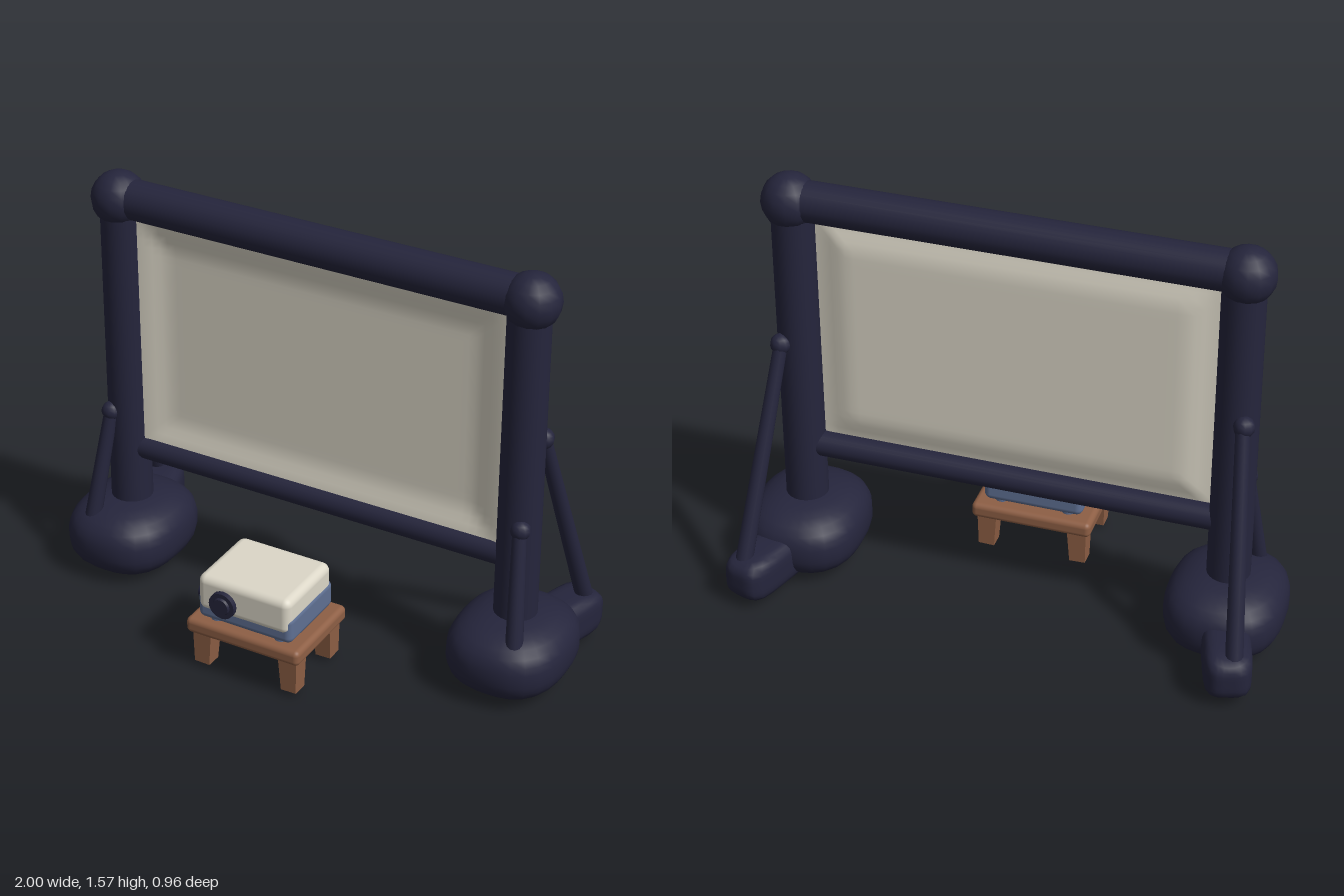
import * as THREE from 'three';
import { mergeVertices } from 'three/addons/utils/BufferGeometryUtils.js';
import { RoundedBoxGeometry } from 'three/addons/geometries/RoundedBoxGeometry.js';

const material = (name, color, extra = {}) => {
  const m = new THREE.MeshStandardMaterial({ color, ...extra });
  m.name = name;
  return m;
};

const V = (x, y, z) => new THREE.Vector3(x, y, z);

export function createModel() {
  const model = new THREE.Group();
  model.name = 'outdoorScreen';
  const navy = material('navy', 0x25253c);
  const cream = material('cream', 0xdcd7c8);
  const fabric = material('screenFabric', 0xdbd6c7, { side: THREE.DoubleSide });
  const blue = material('slateBlue', 0x5f7093);
  const wood = material('wood', 0x8e5f45);

  const add = (name, geometry, mat, x = 0, y = 0, z = 0) => {
    const mesh = new THREE.Mesh(geometry, mat);
    mesh.name = name;
    mesh.position.set(x, y, z);
    model.add(mesh);
    return mesh;
  };
  // Cylinder from a to b
  const tube = (name, a, b, r0, r1, mat, sides = 18) => {
    const mesh = add(name, new THREE.CylinderGeometry(r1, r0, a.distanceTo(b), sides), mat);
    mesh.position.copy(a).lerp(b, 0.5);
    mesh.quaternion.setFromUnitVectors(V(0, 1, 0), b.clone().sub(a).normalize());
    return mesh;
  };
  const box = (name, mat, x0, x1, y0, y1, z0, z1, r) =>
    add(name, new RoundedBoxGeometry(x1 - x0, y1 - y0, z1 - z0, 4, r), mat,
      (x0 + x1) / 2, (y0 + y1) / 2, (z0 + z1) / 2);
  // Sphere pushed out towards a box, for inflated cushions
  const cushion = (rx, ry, rz, n) => {
    let g = new THREE.SphereGeometry(1, 28, 18);
    g.deleteAttribute('uv');
    g.deleteAttribute('normal');
    g = mergeVertices(g, 1e-4);
    const p = g.attributes.position;
    for (let i = 0; i < p.count; i++) {
      const v = V(0, 0, 0).fromBufferAttribute(p, i);
      const k = (Math.abs(v.x) ** n + Math.abs(v.y) ** n + Math.abs(v.z) ** n) ** (-1 / n);
      p.setXYZ(i, v.x * k * rx, v.y * k * ry, v.z * k * rz);
    }
    g.computeVertexNormals();
    return g;
  };

  // Inflated frame
  const fz = -0.068;
  tube('topTube', V(-0.79, 1.48, fz), V(0.79, 1.48, fz), 0.072, 0.072, navy, 24);
  tube('bottomTube', V(-0.79, 0.492, fz), V(0.79, 0.492, fz), 0.047, 0.047, navy, 24);
  for (const s of [-1, 1]) {
    tube('post', V(s * 0.788, 0.1, fz), V(s * 0.788, 1.48, fz), 0.078, 0.075, navy, 24);
    add('cornerBall', new THREE.SphereGeometry(0.1, 14, 10), navy, s * 0.795, 1.475, fz);
    add('base', cushion(0.213, 0.139, 0.245, 2.6), navy, s * 0.787, 0.141, -0.065);

    // Rear foot with a rounded end
    const foot = add('rearFoot', cushion(0.085, 0.083, 0.17, 4.5), navy, s * 0.85, 0.11, -0.315);
    foot.rotation.y = s * -0.3;

    // Struts and their joints on the post
    tube('rearStrut', V(s * 0.9, 0.16, -0.415), V(s * 0.825, 0.94, -0.145), 0.032, 0.025, navy, 12);
    add('rearStrutJoint', new THREE.SphereGeometry(0.038, 10, 8), navy, s * 0.828, 0.935, -0.14);
    tube('frontStrut', V(s * 0.865, 0.18, 0.1), V(s * 0.82, 0.65, 0), 0.032, 0.025, navy, 12);
    add('frontStrutJoint', new THREE.SphereGeometry(0.036, 10, 8), navy, s * 0.822, 0.645, -0.002);
  }

  // Screen fabric, dished inwards from its edges
  const sheet = new THREE.PlaneGeometry(1.44, 0.92, 48, 32);
  const p = sheet.attributes.position;
  for (let i = 0; i < p.count; i++) {
    const x = p.getX(i), y = p.getY(i);
    const edge = Math.min(0.72 - Math.abs(x), 0.46 - Math.abs(y));
    p.setZ(i, -0.025 * THREE.MathUtils.smoothstep(edge, 0, 0.13));
  }
  sheet.computeVertexNormals();
  add('screen', sheet, fabric, 0, 0.97, -0.05);

  // Table
  box('tableTop', wood, -0.23, 0.223, 0.15, 0.21, 0.11, 0.46, 0.02);
  for (const sx of [-1, 1]) {
    for (const sz of [-1, 1]) {
      const x = -0.003 + sx * 0.175, z = 0.285 + sz * 0.122;
      const leg = tube('tableLeg', V(x, 0.022, z), V(x - sx * 0.004, 0.17, z - sz * 0.004),
        0.042, 0.052, wood, 4);
      leg.geometry = leg.geometry.toNonIndexed();
      leg.geometry.rotateY(Math.PI / 4);
      leg.geometry.computeVertexNormals();
    }
  }

  // Projector: cream shell over a blue tray
  box('projectorShell', cream, -0.186, 0.181, 0.255, 0.396, 0.144, 0.447, 0.03);
  box('projectorTray', blue, -0.19, 0.185, 0.218, 0.325, 0.14, 0.441, 0.025);
  for (const x of [-0.13, 0.125]) {
    for (const z of [0.18, 0.4]) {
      add('projectorFoot', new THREE.CylinderGeometry(0.025, 0.025, 0.03, 12), blue, x, 0.215, z);
    }
  }

  // Lens and side knob
  tube('lensBarrel', V(-0.077, 0.31, 0.42), V(-0.077, 0.31, 0.465), 0.052, 0.05, navy, 20);
  tube('lensGlass', V(-0.077, 0.31, 0.46), V(-0.077, 0.31, 0.473), 0.036, 0.03, navy, 20);
  tube('sideKnob', V(-0.18, 0.3, 0.39), V(-0.2, 0.3, 0.39), 0.03, 0.028, navy, 14);

  return model;
}
